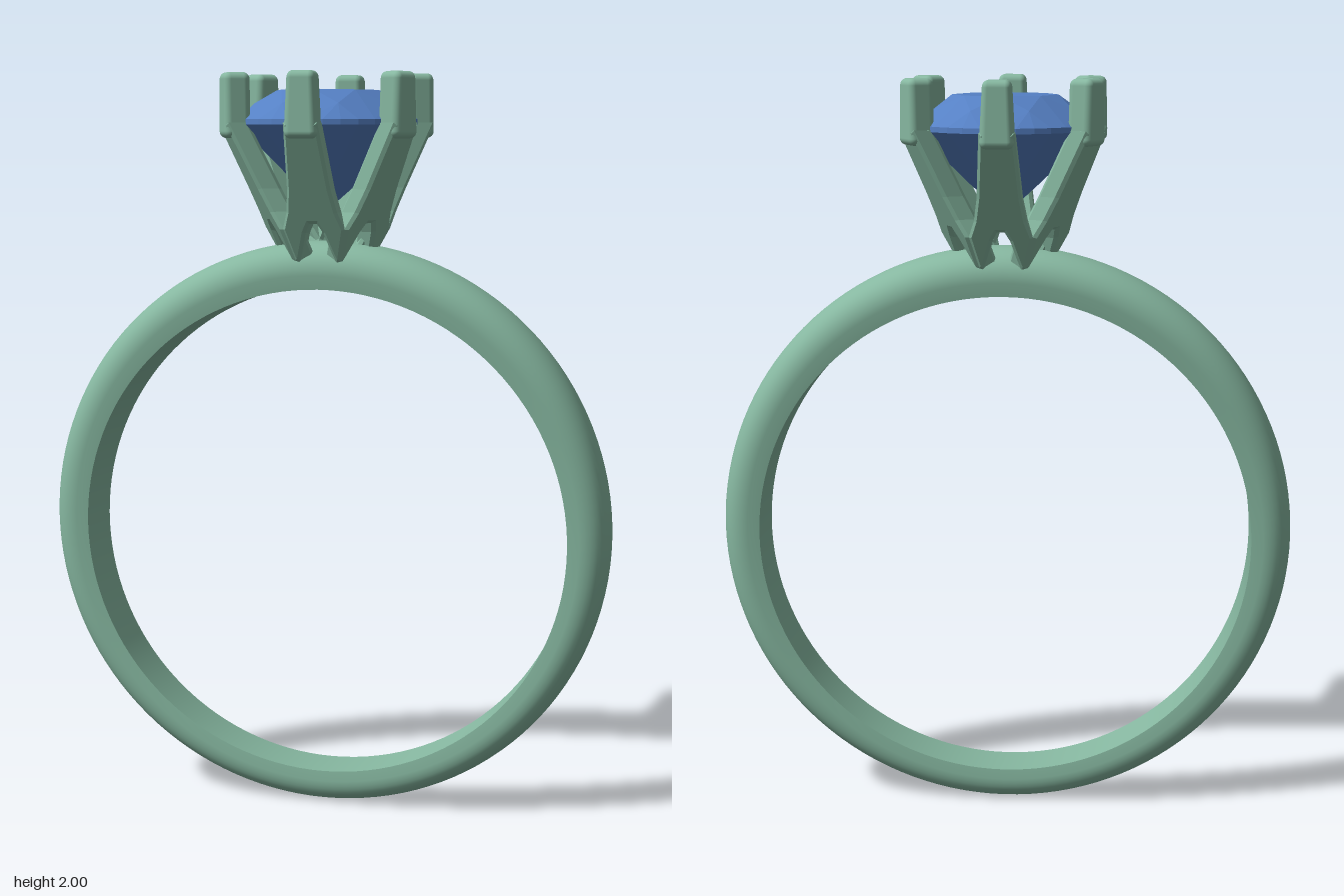
import * as THREE from 'three';
import { RoundedBoxGeometry } from 'three/addons/geometries/RoundedBoxGeometry.js';
import { ConvexGeometry } from 'three/addons/geometries/ConvexGeometry.js';

const metal = new THREE.MeshStandardMaterial({ color: 0x86b7a0 });
const blue = new THREE.MeshStandardMaterial({ color: 0x5580c4 });

function add(parent, name, geometry, material) {
  const mesh = new THREE.Mesh(geometry, material);
  mesh.name = name;
  parent.add(mesh);
  return mesh;
}

// Sweep a strip of [z, t] section points round the finger hole.
// z is a fraction of the half width, t runs from the inner (0) to the outer (1) circle.
function sweepBand(section) {
  const steps = 128, n = section.length, pos = [], index = [];
  for (let i = 0; i < steps; i++) {
    const a = (i / steps) * Math.PI * 2, s = Math.sin(a), c = Math.cos(a);
    const halfWidth = 0.088 + 0.02 * c;
    for (const [z, t] of section) {
      const r = THREE.MathUtils.lerp(0.67, 0.778, t);
      const cy = THREE.MathUtils.lerp(0.765, 0.78, t);
      pos.push(r * s, cy + r * c, z * halfWidth);
    }
    for (let j = 0; j < n - 1; j++) {
      const p = i * n + j, q = ((i + 1) % steps) * n + j;
      index.push(p, q, q + 1, p, q + 1, p + 1);
    }
  }
  const g = new THREE.BufferGeometry();
  g.setAttribute('position', new THREE.Float32BufferAttribute(pos, 3));
  g.setIndex(index);
  g.computeVertexNormals();
  return g;
}

function makeBand() {
  const band = new THREE.Group();
  band.name = 'band';
  // Rounded outside: short flanks and a soft dome
  const outer = [[0.95, 0]];
  for (let j = 0; j <= 20; j++) {
    const a = (j / 20) * Math.PI, c = Math.cos(a);
    outer.push([Math.sign(c) * Math.abs(c) ** 0.85, 0.3 + 0.7 * Math.sin(a) ** 0.85]);
  }
  outer.push([-0.95, 0]);
  add(band, 'bandOutside', sweepBand(outer), metal);
  add(band, 'bandInside', sweepBand([[-0.95, 0], [0, 0], [0.95, 0]]), metal);
  return band;
}

// Forked lower arm: flat outline, leaned outward with height
function armGeometry() {
  const half = [[0.045, 1.87], [0.058, 1.7], [0.068, 1.64], [0.084, 1.595], [0.062, 1.51],
    [0.05, 1.505], [0.038, 1.54], [0.024, 1.585], [0.01, 1.61]];
  const outline = [...half, ...half.map(([x, y]) => [-x, y]).reverse()];
  const shape = new THREE.Shape(outline.map(([x, y]) => new THREE.Vector2(x, y)));
  const g = new THREE.ExtrudeGeometry(shape, {
    depth: 0.045, bevelEnabled: true, bevelThickness: 0.01, bevelSize: 0.008,
    bevelOffset: -0.008, bevelSegments: 1,
  });
  const p = g.attributes.position;
  for (let i = 0; i < p.count; i++) {
    p.setZ(i, p.getZ(i) + 0.055 + (p.getY(i) - 1.51) * 0.495);
  }
  g.computeVertexNormals();
  return g;
}

// Upright claw, slightly narrower at the tip
function clawGeometry() {
  const g = new RoundedBoxGeometry(0.09, 0.17, 0.07, 3, 0.018);
  const p = g.attributes.position;
  for (let i = 0; i < p.count; i++) {
    p.setX(i, p.getX(i) * (0.9 - p.getY(i) * 1.2));
  }
  return g.translate(0, 1.915, 0.252);
}

function makeSetting() {
  const setting = new THREE.Group();
  setting.name = 'setting';
  const arm = armGeometry(), claw = clawGeometry();
  for (let k = 0; k < 6; k++) {
    const prong = new THREE.Group();
    prong.name = 'prong' + (k + 1);
    add(prong, 'forkedArm', arm, metal);
    add(prong, 'claw', claw, metal);
    prong.rotation.y = (k * Math.PI) / 3;
    setting.add(prong);
  }
  return setting;
}

// Faceted stone: table, crown, girdle, pavilion and point
function makeGem() {
  const points = [];
  const ring = (n, r, y, turn = 0) => {
    for (let i = 0; i < n; i++) {
      const a = ((i + turn) / n) * Math.PI * 2;
      points.push(new THREE.Vector3(r * Math.cos(a), y, r * Math.sin(a)));
    }
  };
  ring(8, 0.14, 1.955);
  ring(8, 0.195, 1.92, 0.5);
  ring(32, 0.238, 1.879);
  ring(32, 0.238, 1.865);
  ring(8, 0.105, 1.73, 0.5);
  points.push(new THREE.Vector3(0, 1.64, 0));
  return new ConvexGeometry(points);
}

export function createModel() {
  const model = new THREE.Group();
  model.name = 'ring';
  model.add(makeBand(), makeSetting());
  add(model, 'gemstone', makeGem(), blue);
  return model;
}
